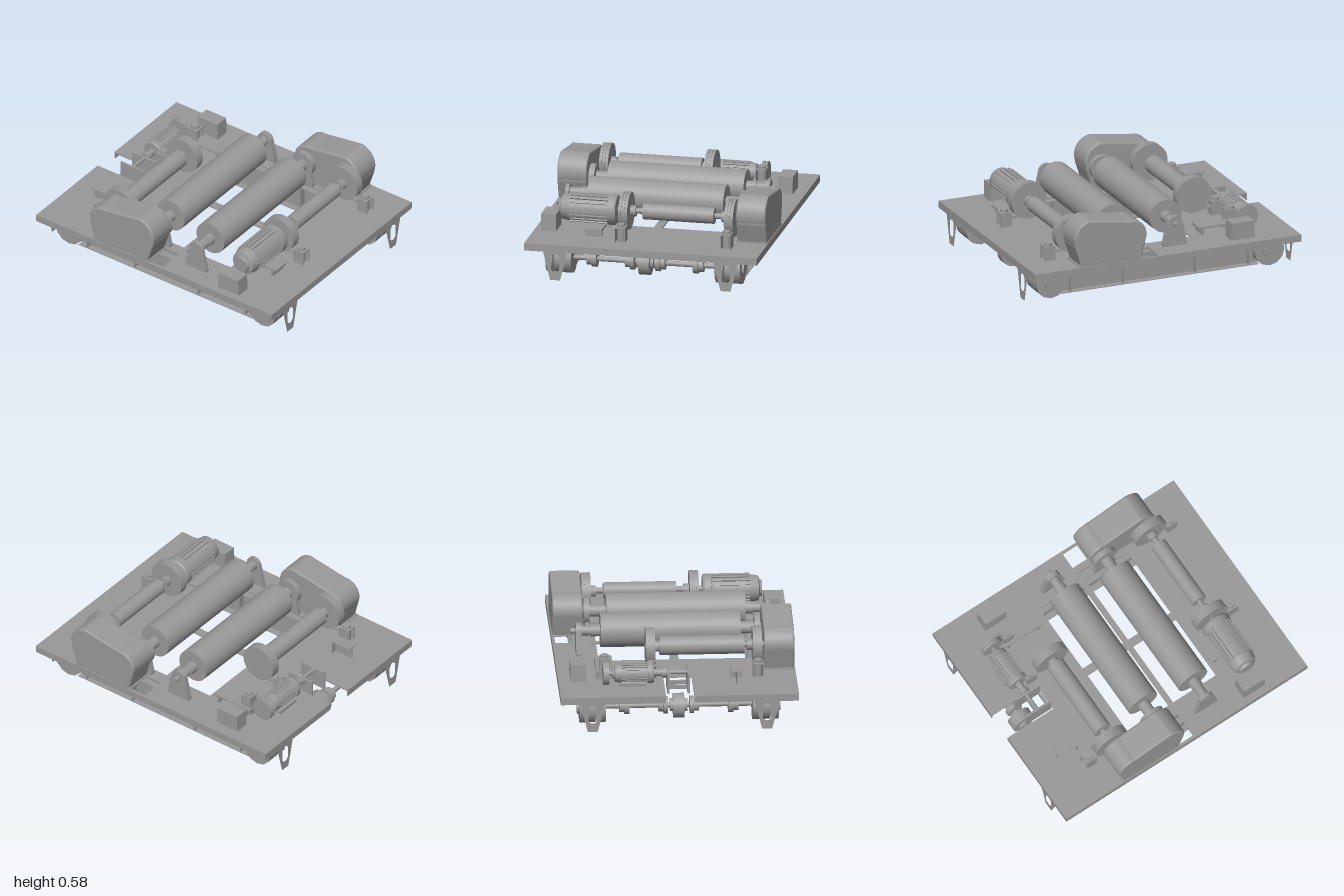
import * as THREE from 'three';

const mat = new THREE.MeshStandardMaterial({ color: 0x999999 });
const thinMat = new THREE.MeshStandardMaterial({ color: 0x999999, side: THREE.DoubleSide });

export function createModel() {
  const root = new THREE.Group();

  const add = (name, geo, material = mat) => {
    const m = new THREE.Mesh(geo, material);
    m.name = name;
    root.add(m);
  };
  // box given by its limits
  const box = (name, x0, x1, y0, y1, z0, z1) =>
    add(name, new THREE.BoxGeometry(Math.abs(x1 - x0), y1 - y0, z1 - z0)
      .translate((x0 + x1) / 2, (y0 + y1) / 2, (z0 + z1) / 2));
  // cylinder lying along x
  const cyl = (name, r, x0, x1, y, z, seg = 32) =>
    add(name, new THREE.CylinderGeometry(r, r, Math.abs(x1 - x0), seg)
      .rotateZ(Math.PI / 2).translate((x0 + x1) / 2, y, z));
  // plate with an outline in (z, y), extruded along x, with optional rounded rims
  const plateX = (name, shape, xa, xb, round = 0) =>
    add(name, new THREE.ExtrudeGeometry(shape, {
      depth: Math.abs(xb - xa) - 2 * round, curveSegments: 20, bevelEnabled: round > 0,
      bevelThickness: round, bevelSize: round, bevelOffset: -round, bevelSegments: 3,
    }).rotateY(-Math.PI / 2).translate(Math.max(xa, xb) - round, 0, 0));
  const poly = (pts) => new THREE.Shape(pts.map(([a, b]) => new THREE.Vector2(a, b)));

  // ---- Deck plate with roller windows, gear slots and rear notch (outline in x, -z)
  const deck = poly([[-0.82, -1], [0.82, -1], [0.82, 1], [0.095, 1], [0.095, 0.62],
    [-0.1, 0.62], [-0.1, 1], [-0.82, 1]]);
  const hole = (x0, x1, z0, z1) =>
    deck.holes.push(poly([[x0, -z0], [x1, -z0], [x1, -z1], [x0, -z1]]));
  for (const [z0, z1] of [[-0.29, 0.047], [0.087, 0.442]]) {
    hole(-0.565, -0.03, z0, z1);
    hole(0.03, 0.56, z0, z1);
  }
  hole(-0.8, -0.615, -0.5, 0.065);
  hole(0.62, 0.8, 0.065, 0.62);
  add('deck', new THREE.ExtrudeGeometry(deck, { depth: 0.01, bevelEnabled: false })
    .rotateX(-Math.PI / 2).translate(0, 0.24, 0));

  // ---- Edge skirts of the deck
  box('frontSkirt', -0.82, 0.82, 0.2, 0.241, 0.992, 1);
  box('backSkirtRight', -0.82, -0.1, 0.2, 0.241, -1, -0.992);
  box('backSkirtLeft', 0.095, 0.82, 0.2, 0.241, -1, -0.992);
  for (const s of [-1, 1]) box('sideSkirt', s * 0.812, s * 0.82, 0.2, 0.241, -0.993, 0.993);

  // ---- Side beams, wheels, bearing housings and rail guards
  const guard = poly([[-0.085, 0.2], [-0.06, 0.1], [-0.035, 0], [0.035, 0], [0.06, 0.1], [0.085, 0.2]]);
  const slot = new THREE.Path();
  slot.absarc(0, 0.155, 0.03, 0, Math.PI);
  slot.absarc(0, 0.09, 0.03, Math.PI, Math.PI * 2);
  slot.closePath();
  guard.holes.push(slot);
  for (const s of [-1, 1]) {
    for (const [web, tip] of [[0.63, 0.68], [0.57, 0.52]]) {
      const t = Math.sign(tip - web) * 0.006;
      box('beamWeb', s * web, s * (web + t), 0.03, 0.24, -0.88, 0.88);
      box('beamTopFlange', s * web, s * tip, 0.234, 0.24, -0.88, 0.88);
      box('beamBottomFlange', s * web, s * tip, 0.027, 0.032, -0.74, 0.74);
      for (const z of [-0.67, -0.27, 0.27, 0.67])
        box('beamStiffener', s * web, s * tip, 0.032, 0.234, z - 0.002, z + 0.002);
    }
    for (const e of [-1, 1]) {
      const z = e * 0.82;
      cyl('wheel', 0.11, s * 0.575, s * 0.625, 0.12, z, 40);
      cyl('outerBearingHousing', 0.112, s * 0.635, s * 0.685, 0.12, z, 12);
      cyl('innerBearingHousing', 0.112, s * 0.505, s * 0.565, 0.12, z, 12);
      cyl('bearingCap', 0.05, s * 0.685, s * 0.7, 0.12, z);
      add('railGuard', new THREE.ShapeGeometry(guard).translate(s * 0.6, 0, e * 0.999), thinMat);
    }
  }

  // ---- Wheel axles with couplings and a central gear
  for (const z of [-0.82, 0.82]) {
    cyl('axle', 0.018, -0.52, 0.52, 0.12, z, 20);
    cyl('axleGear', 0.085, -0.038, 0.038, 0.115, z);
    cyl('axleGearHub', 0.045, -0.06, 0.06, 0.12, z);
    for (const s of [-1, 1]) {
      cyl('innerCoupling', 0.06, s * 0.075, s * 0.105, 0.12, z);
      cyl('innerCouplingSleeve', 0.045, s * 0.105, s * 0.14, 0.12, z);
      cyl('outerCoupling', 0.058, s * 0.34, s * 0.375, 0.12, z);
      cyl('outerCouplingSleeve', 0.045, s * 0.375, s * 0.41, 0.12, z);
    }
  }

  // ---- Finned motor along x, from its tail to its drive end
  const motor = (name, tail, end, r, y, z) => {
    const L = Math.abs(end - tail), d = Math.sign(end - tail);
    const prof = [[0, 0], [0.5, 0], [0.55, 0.04], [0.8, 0.06], [0.9, 0.2], [0.9, 0.85],
      [1, 0.86], [1, 0.97], [0.93, 1], [0, 1]].map(([a, b]) => new THREE.Vector2(a * r, b * L));
    const g = new THREE.LatheGeometry(prof, 36).toNonIndexed();
    g.computeVertexNormals();
    add(name, g.rotateZ(-d * Math.PI / 2).translate(tail, y, z));
    for (let i = 0; i < 20; i++)
      add(name + 'Fin', new THREE.BoxGeometry(L * 0.66, r * 0.14, r * 0.09).translate(0, r * 0.92, 0)
        .rotateX(i * Math.PI / 10).translate(tail + d * L * 0.54, y, z));
  };

  // ---- Brake pedestal: open box with a round thruster
  const brake = (x, z, toward, top) => {
    for (const s of [-1, 1]) box('brakeSide', x + s * 0.037, x + s * 0.032, 0.25, top - 0.02, z - 0.042, z + 0.042);
    box('brakeTop', x - 0.037, x + 0.037, top - 0.028, top - 0.02, z - 0.042, z + 0.042);
    box('brakeBack', x - 0.037, x + 0.037, 0.25, top - 0.02, z + toward * 0.038 - 0.003, z + toward * 0.038 + 0.003);
    add('brakeThruster', new THREE.CylinderGeometry(0.028, 0.028, top - 0.25, 20).translate(x, (top + 0.25) / 2, z));
    const tip = z + toward * 0.1;
    box('brakeLever', x - 0.02, x + 0.02, 0.3, 0.315, Math.min(z, tip), Math.max(z, tip));
  };

  // ---- Brake disc of three close rims, with its boss toward the drum
  const disc = (x, y, z, r, side) => {
    for (const k of [-0.022, 0, 0.022]) cyl('brakeDisc', r, x + k - 0.0095, x + k + 0.0095, y, z, 40);
    cyl('brakeDiscHub', r * 0.95, x - 0.03, x + 0.03, y, z, 40);
    cyl('brakeDiscBoss', 0.038, x, x + side * 0.07, y, z);
  };

  // ---- Bearing stand with a rounded head
  const stand = (xa, xb, z) => {
    const s = new THREE.Shape();
    s.moveTo(z + 0.088, 0.25);
    s.lineTo(z + 0.088, 0.27);
    s.absarc(z, 0.41, 0.055, 0.18, Math.PI - 0.18);
    s.lineTo(z - 0.088, 0.27);
    s.lineTo(z - 0.088, 0.25);
    plateX('bearingStand', s, xa, xb);
  };

  // ---- Rollers, gear covers and drive shafts; the rear unit is the mirrored front one
  const units = [
    { m: 1, rz: 0.258, dz: 0.617, cover: 0.003, r: 0.056, roller: [-0.515, 0.443], drum: [-0.06, 0.44],
      shaft: [-0.25, 0.65], discs: [-0.182, 0.562], standX: [-0.683, -0.658], shaftEnd: -0.685,
      table: [-0.385, 0.612], control: [-0.717, 0.595] },
    { m: -1, rz: -0.12, dz: -0.462, cover: -0.708, r: 0.065, roller: [-0.46, 0.502], drum: [-0.47, 0.113],
      shaft: [-0.65, 0.212], discs: [-0.558, 0.178], standX: [0.632, 0.67], shaftEnd: 0.705,
      table: [0.496, -0.502], control: [0.683, -0.6] },
  ];
  for (const { m, rz, dz, cover, r, roller, drum, shaft, discs, standX, shaftEnd, table, control } of units) {
    cyl('roller', 0.118, roller[0], roller[1], 0.41, rz, 48);
    cyl('rollerNeck', 0.042, m * -0.57, m * 0.555, 0.41, rz);
    cyl('rollerShaft', 0.034, standX[1], m * 0.65, 0.41, rz);
    cyl('rollerShaftEnd', 0.018, shaftEnd, m * -0.6, 0.41, rz);
    cyl('rollerFlange', 0.09, m * 0.557, m * 0.597, 0.41, rz);
    stand(m * 0.56, m * 0.59, rz);
    stand(standX[0], standX[1], rz);

    const c = new THREE.Shape();
    c.moveTo(cover + 0.645, 0.25);
    c.lineTo(cover + 0.69, 0.39);
    c.absarc(cover + 0.562, 0.445, 0.135, -0.3, 1.42);
    c.absarc(cover + 0.265, 0.425, 0.11, 1.42, Math.PI + 0.25);
    c.lineTo(cover + 0.195, 0.25);
    plateX('gearCover', c, m * 0.605, m * 0.813, 0.012);
    box('gearCoverFoot', m * 0.6, m * 0.815, 0.25, 0.258, cover + 0.18, cover + 0.66);

    cyl('driveDrum', r, drum[0], drum[1], 0.418, dz, 40);
    cyl('driveShaft', 0.02, shaft[0], shaft[1], 0.418, dz, 20);
    discs.forEach((x, i) => {
      disc(x, 0.415, dz, 0.13, i ? -1 : 1);
      brake(x, dz + m * 0.174, -m, 0.372);
    });
    // motor table and control box
    const [tx, tz] = table;
    box('motorTableTop', tx - 0.06, tx + 0.06, 0.295, 0.31, tz - 0.155, tz + 0.155);
    for (const s of [-1, 1])
      box('motorTableLeg', tx - 0.06, tx + 0.06, 0.25, 0.295, tz + s * 0.12 - 0.008, tz + s * 0.12 + 0.008);
    const [bx, bz] = control;
    plateX('controlBox', poly([[bz - 0.088, 0.25], [bz + 0.088, 0.25], [bz + 0.084, 0.372], [bz - 0.084, 0.372]]),
      bx - 0.052, bx + 0.052);
  }
  motor('mainMotor', -0.652, -0.243, 0.106, 0.415, 0.617);

  // ---- Small open support at the rear
  box('rearSupportTop', -0.447, -0.367, 0.34, 0.348, -0.805, -0.65);
  box('rearSupportWeb', -0.41, -0.402, 0.25, 0.34, -0.8, -0.655);
  box('rearSupportBack', -0.447, -0.367, 0.25, 0.34, -0.657, -0.65);

  // ---- Travel drive: motor, disc, shaft and gear frame in the notch
  const ty = 0.325, tz = -0.731;
  motor('travelMotor', 0.45, 0.168, 0.073, ty, tz);
  box('travelMotorFoot', 0.22, 0.4, 0.25, 0.27, tz - 0.07, tz + 0.07);
  cyl('travelShaft', 0.014, -0.08, 0.5, ty, tz, 16);
  cyl('travelCoupling', 0.035, 0.08, 0.11, ty, tz);
  cyl('travelCouplingSleeve', 0.025, 0.11, 0.168, ty, tz);
  for (const x of [0.485, 0.507]) cyl('travelBrakeDisc', 0.08, x - 0.0095, x + 0.0095, ty, tz);
  cyl('travelBrakeHub', 0.07, 0.475, 0.515, ty, tz);
  brake(0.497, -0.605, -1, 0.415);
  for (const s of [-1, 1]) box('gearFrameSide', s * 0.062, s * 0.077, 0.2, 0.34, -0.825, -0.62);
  for (const z of [-0.72, -0.63]) box('gearFrameBar', -0.077, 0.077, 0.2, 0.225, z - 0.01, z + 0.01);

  return root;
}
